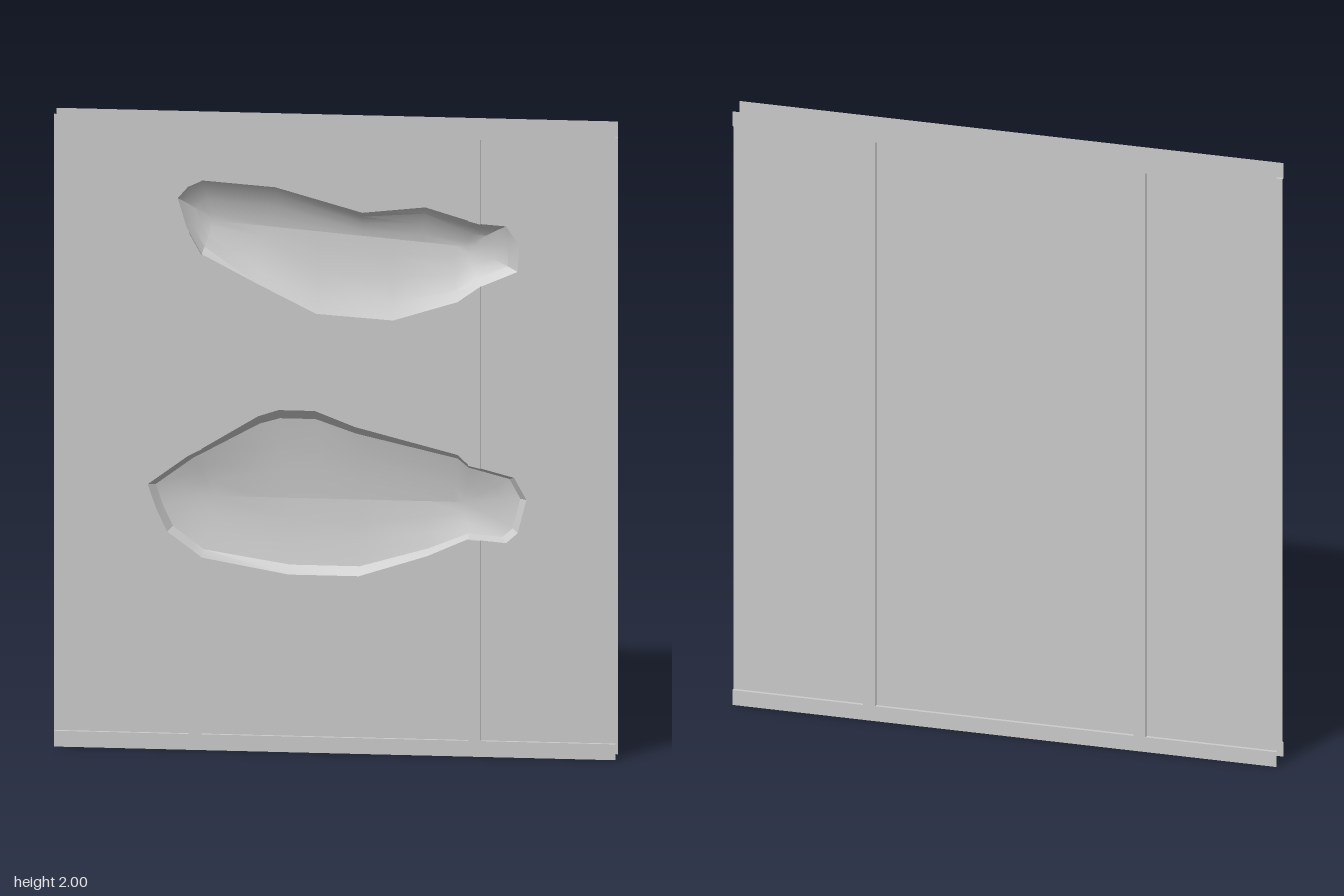
import * as THREE from 'three';
import { toCreasedNormals } from 'three/addons/utils/BufferGeometryUtils.js';

const W = 1.74, H = 2, EDGE = 0.05;     // panel width, height, frame band height
const INNER = 0.03, OUTER = 0.041;      // depth of the recessed sheet and the raised frame
const RAIL_IN = 0.413, RAIL_OUT = 0.452;

const material = new THREE.MeshStandardMaterial({ color: 0xcccccc, side: THREE.DoubleSide });

// Dent rims, counter-clockwise as [x, y]
const upperRim = [
  [-0.487, 1.74], [-0.46, 1.65], [-0.413, 1.565], [-0.24, 1.475], [-0.058, 1.385], [0.18, 1.37],
  [0.38, 1.433], [0.444, 1.48], [0.566, 1.533], [0.571, 1.618], [0.53, 1.676], [0.444, 1.682],
  [0.28, 1.73], [0.085, 1.708], [-0.185, 1.782], [-0.413, 1.798], [-0.455, 1.777],
];
const lowerRim = [
  [-0.58, 0.834], [-0.555, 0.76], [-0.52, 0.686], [-0.455, 0.638], [-0.413, 0.606], [-0.143, 0.559],
  [0.074, 0.559], [0.286, 0.628], [0.413, 0.685], [0.53, 0.675], [0.566, 0.707], [0.593, 0.813],
  [0.555, 0.882], [0.413, 0.919], [0.38, 0.95], [0.063, 1.03], [-0.063, 1.078], [-0.175, 1.078],
  [-0.238, 1.057], [-0.413, 0.95], [-0.45, 0.93],
];

function add(parent, name, geometry) {
  const mesh = new THREE.Mesh(geometry, material);
  mesh.name = name;
  parent.add(mesh);
  return mesh;
}

const toPoints = (list) => list.map(([x, y]) => new THREE.Vector2(x, y));

// Bowl pressed inward: rings run from the rim to a spine along the dent
function dentGeometry(rim, spineY, profile) {
  const n = rim.length, pos = [], index = [];
  profile.forEach(([t, drop]) => rim.forEach(([x, y]) => {
    const sx = THREE.MathUtils.clamp(x, -0.4, 0.42) * 0.95;
    pos.push(x + (sx - x) * t, y + (spineY(sx) - y) * t, INNER - drop);
  }));
  for (let k = 0; k < profile.length - 1; k++) {
    for (let i = 0; i < n; i++) {
      const a = k * n + i, b = k * n + (i + 1) % n;
      index.push(a, b, a + n, b, b + n, a + n);
    }
  }
  const g = new THREE.BufferGeometry();
  g.setAttribute('position', new THREE.Float32BufferAttribute(pos, 3));
  g.setIndex(index);
  return toCreasedNormals(g, 0.4);
}

// One skin of the panel: recessed sheet, bands at top and bottom, upright rails
function createSkin(name, holes, rails) {
  const skin = new THREE.Group();
  skin.name = name;
  const w = W / 2;
  const shape = new THREE.Shape(toPoints([[-w, EDGE], [w, EDGE], [w, H - EDGE], [-w, H - EDGE]]));
  holes.forEach((rim) => shape.holes.push(new THREE.Path(toPoints(rim))));
  add(skin, 'sheet', new THREE.ShapeGeometry(shape)).position.z = INNER;

  for (const top of [false, true]) {
    const label = top ? 'top' : 'bottom';
    const band = add(skin, label + 'Band', new THREE.PlaneGeometry(W, EDGE));
    band.position.set(0, top ? H - EDGE / 2 : EDGE / 2, OUTER);
    const ledge = add(skin, label + 'Ledge', new THREE.PlaneGeometry(W, OUTER - INNER));
    ledge.rotation.x = top ? Math.PI / 2 : -Math.PI / 2;
    ledge.position.set(0, top ? H - EDGE : EDGE, (OUTER + INNER) / 2);
  }

  // Each rail piece: side, then y at its outer and inner edge, bottom and top
  rails.forEach(([side, outer0, inner0, outer1, inner1]) => {
    const xo = side * RAIL_OUT, xi = side * RAIL_IN;
    const outline = new THREE.Shape(toPoints([[xo, outer0], [xi, inner0], [xi, inner1], [xo, outer1]]));
    const g = new THREE.ExtrudeGeometry(outline, { depth: OUTER - INNER, bevelEnabled: false });
    add(skin, side > 0 ? 'leftRail' : 'rightRail', g).position.z = INNER;
  });
  return skin;
}

export function createModel() {
  const model = new THREE.Group();
  model.name = 'dentedWallPanel';
  const lo = EDGE, hi = H - EDGE;

  // Front skin, with its rails broken where the dents cross them
  const front = createSkin('frontSkin', [upperRim, lowerRim], [
    [-1, lo, lo, 0.635, 0.606], [-1, 0.93, 0.95, 1.635, 1.565], [-1, 1.78, 1.798, hi, hi],
    [1, lo, lo, 0.682, 0.685], [1, 0.91, 0.919, 1.485, 1.458], [1, 1.682, 1.692, hi, hi],
  ]);
  add(front, 'upperDent', dentGeometry(upperRim, (x) => 1.63 - 0.08 * x,
    [[0, 0], [0.2, 0.02], [0.5, 0.037], [0.8, 0.047], [1, 0.05]]));
  add(front, 'lowerDent', dentGeometry(lowerRim, () => 0.79,
    [[0, 0], [0.11, 0.027], [0.4, 0.039], [0.7, 0.047], [1, 0.051]]));
  model.add(front);

  // Undamaged back skin
  const back = createSkin('backSkin', [], [[-1, lo, lo, hi, hi], [1, lo, lo, hi, hi]]);
  back.rotation.y = Math.PI;
  model.add(back);
  return model;
}
